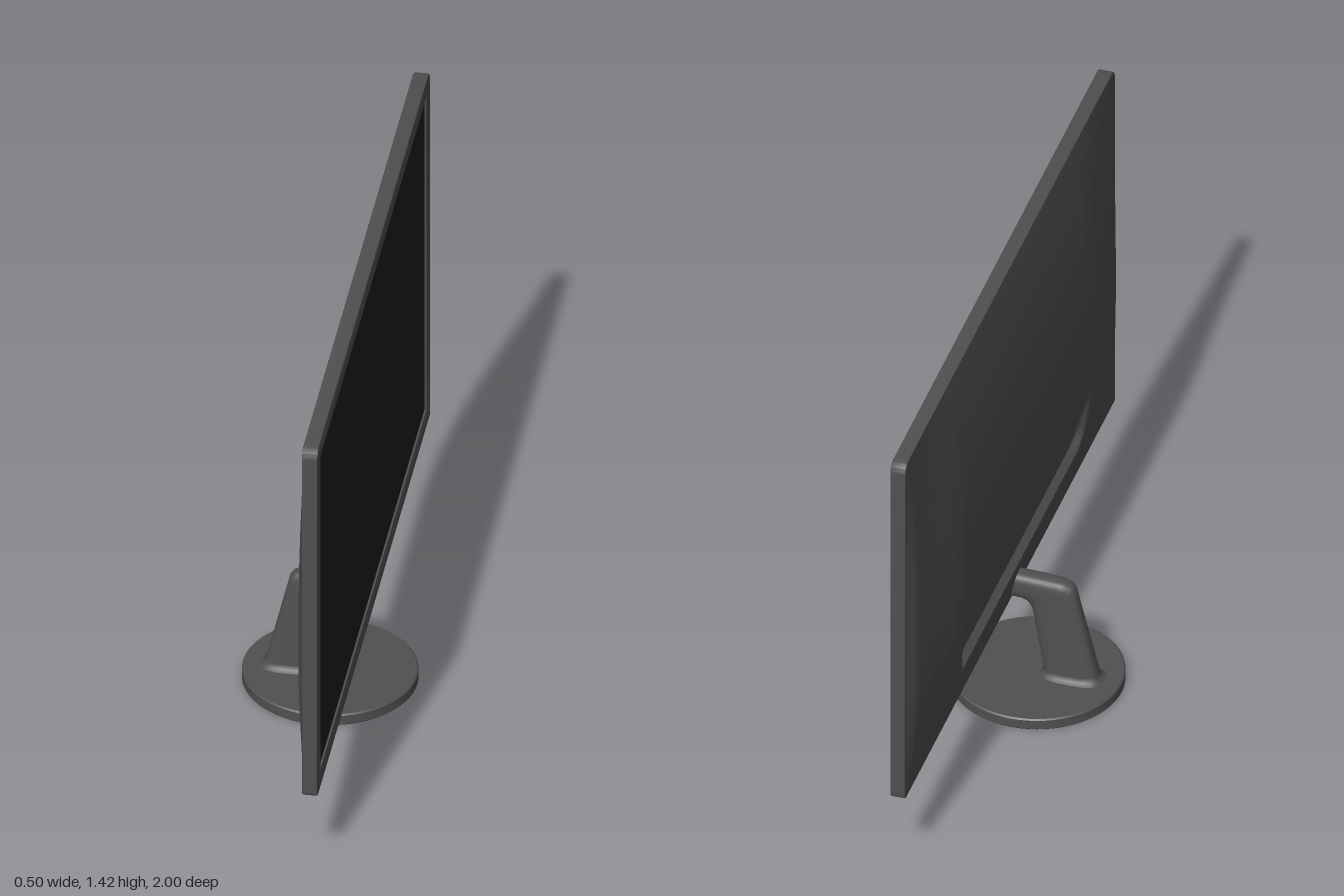
import * as THREE from 'three';
import { toCreasedNormals } from 'three/addons/utils/BufferGeometryUtils.js';

const BOTTOM = 0.255, TOP = 1.425;
const bodyMat = new THREE.MeshStandardMaterial({ color: 0x505050 });
const screenMat = new THREE.MeshStandardMaterial({ color: 0x1e1e1e });

// Piecewise linear lookup in [[key, value], ...]
function lookup(table, k) {
  for (let i = 1; i < table.length; i++) {
    const [k0, v0] = table[i - 1], [k1, v1] = table[i];
    if (k <= k1) return THREE.MathUtils.lerp(v0, v1, Math.max(0, (k - k0) / (k1 - k0)));
  }
  return table[table.length - 1][1];
}

function add(group, name, geometry, material) {
  const mesh = new THREE.Mesh(geometry, material);
  mesh.name = name;
  group.add(mesh);
  return mesh;
}

// Rounded rectangle, separate radii for the upper and lower corners
function panelShape(w, y0, y1, rTop, rBottom) {
  const s = new THREE.Shape();
  s.moveTo(-w + rBottom, y0);
  s.lineTo(w - rBottom, y0);
  s.absarc(w - rBottom, y0 + rBottom, rBottom, -Math.PI / 2, 0);
  s.lineTo(w, y1 - rTop);
  s.absarc(w - rTop, y1 - rTop, rTop, 0, Math.PI / 2);
  s.lineTo(-w + rTop, y1);
  s.absarc(-w + rTop, y1 - rTop, rTop, Math.PI / 2, Math.PI);
  s.lineTo(-w, y0 + rBottom);
  s.absarc(-w + rBottom, y0 + rBottom, rBottom, Math.PI, Math.PI * 1.5);
  return s;
}

// Bezel with the screen opening, extruded along x
function bezelGeometry() {
  const b = 0.004;
  const shape = panelShape(1 - b, BOTTOM + b, TOP - b, 0.03, 0.008);
  shape.holes.push(panelShape(0.94 + b, 0.31 - b, 1.37 + b, 0.002, 0.002));
  const g = new THREE.ExtrudeGeometry(shape, {
    depth: 0.045 - 2 * b, bevelSize: b, bevelThickness: b, bevelSegments: 2, curveSegments: 8,
  });
  g.rotateY(Math.PI / 2);
  g.translate(0.08 + b, 0, 0);
  return toCreasedNormals(g, 0.6);
}

// Bulging back cover with a shallow connector recess
function backGeometry() {
  const height = [[0.255, 0], [0.3, 0.013], [0.37, 0.028], [0.48, 0.044], [0.59, 0.055], [0.72, 0.057],
    [0.88, 0.055], [1, 0.05], [1.12, 0.041], [1.24, 0.028], [1.34, 0.014], [1.425, 0]];
  const across = [[0, 1], [0.6, 1], [0.68, 0.9], [0.95, 0.34], [1, 0]];
  const g = new THREE.PlaneGeometry(2, TOP - BOTTOM, 180, 117);
  g.rotateY(-Math.PI / 2);
  g.translate(0, (BOTTOM + TOP) / 2, 0);
  const p = g.attributes.position;
  for (let i = 0; i < p.count; i++) {
    const y = p.getY(i);
    let z = p.getZ(i);
    let x = 0.081 - lookup(height, y) * lookup(across, Math.abs(z));
    // Recess: floor slopes inward towards a rounded lower edge
    const r = 0.06, half = 0.58 + 0.04 * (y - 0.4) / 0.2;
    const dx = Math.abs(z) - (half - r), dy = (0.4 + r) - y;
    const d = r - (dx > 0 && dy > 0 ? Math.hypot(dx, dy) : Math.max(dx, dy));
    if (y < 0.6 && d > 0) {
      const floor = THREE.MathUtils.lerp(0.074, 0.028, Math.max(0, (y - 0.41) / 0.19));
      x = THREE.MathUtils.lerp(x, Math.max(x, floor), THREE.MathUtils.smoothstep(d, 0, 0.03));
    }
    // Follow the rounded upper corners of the bezel
    const c = Math.max(0, y - (TOP - 0.034));
    z *= 0.997 - (0.034 - Math.sqrt(Math.max(0, 0.034 ** 2 - c * c)));
    p.setXYZ(i, x, THREE.MathUtils.clamp(y, BOTTOM + 0.003, TOP - 0.003), z);
  }
  return toCreasedNormals(g, 0.7);
}

// Neck lofted through stations: rear x,y, front x,y, half width
function neckGeometry() {
  const stations = [
    [-0.205, 0.034, -0.008, 0.034, 0.062], [-0.19, 0.042, -0.018, 0.042, 0.045],
    [-0.183, 0.055, -0.022, 0.055, 0.04], [-0.15, 0.19, -0.004, 0.16, 0.036],
    [-0.12, 0.315, 0.008, 0.235, 0.033], [-0.115, 0.335, 0.014, 0.256, 0.033],
    [-0.105, 0.35, 0.022, 0.27, 0.033], [-0.085, 0.358, 0.032, 0.279, 0.033],
    [-0.03, 0.363, 0.045, 0.284, 0.033], [0.085, 0.366, 0.09, 0.286, 0.033]];
  const n = 32, pos = [], idx = [];
  const soft = (v) => Math.sign(v) * Math.abs(v) ** 0.7;
  stations.forEach(([ax, ay, bx, by, w], s) => {
    for (let j = 0; j < n; j++) {
      const a = (j / n) * Math.PI * 2, c = soft(Math.cos(a)) / 2, q = soft(Math.sin(a));
      pos.push((ax + bx) / 2 + (bx - ax) * c, (ay + by) / 2 + (by - ay) * c, w * q);
      if (s === 0) continue;
      const k = (j + 1) % n, lo = (s - 1) * n, hi = s * n;
      idx.push(lo + j, hi + j, lo + k, lo + k, hi + j, hi + k);
    }
  });
  const g = new THREE.BufferGeometry();
  g.setAttribute('position', new THREE.Float32BufferAttribute(pos, 3));
  g.setIndex(idx);
  g.computeVertexNormals();
  return g;
}

export function createModel() {
  const model = new THREE.Group();
  model.name = 'monitor';

  // Display panel, its screen facing +x
  const panel = new THREE.Group();
  panel.name = 'displayPanel';
  model.add(panel);
  add(panel, 'bezel', bezelGeometry(), bodyMat);
  add(panel, 'backCover', backGeometry(), bodyMat);
  const screen = add(panel, 'screen', new THREE.BoxGeometry(0.02, 1.08, 1.9), screenMat);
  screen.position.set(0.108, 0.84, 0);

  // Stand
  const stand = new THREE.Group();
  stand.name = 'stand';
  model.add(stand);
  add(stand, 'neck', neckGeometry(), bodyMat);
  const profile = [[0, 0], [0.246, 0], [0.25, 0.004], [0.25, 0.032], [0.246, 0.036], [0, 0.037]]
    .map(([x, y]) => new THREE.Vector2(x, y));
  add(stand, 'base', toCreasedNormals(new THREE.LatheGeometry(profile, 64), 0.5), bodyMat);

  return model;
}
